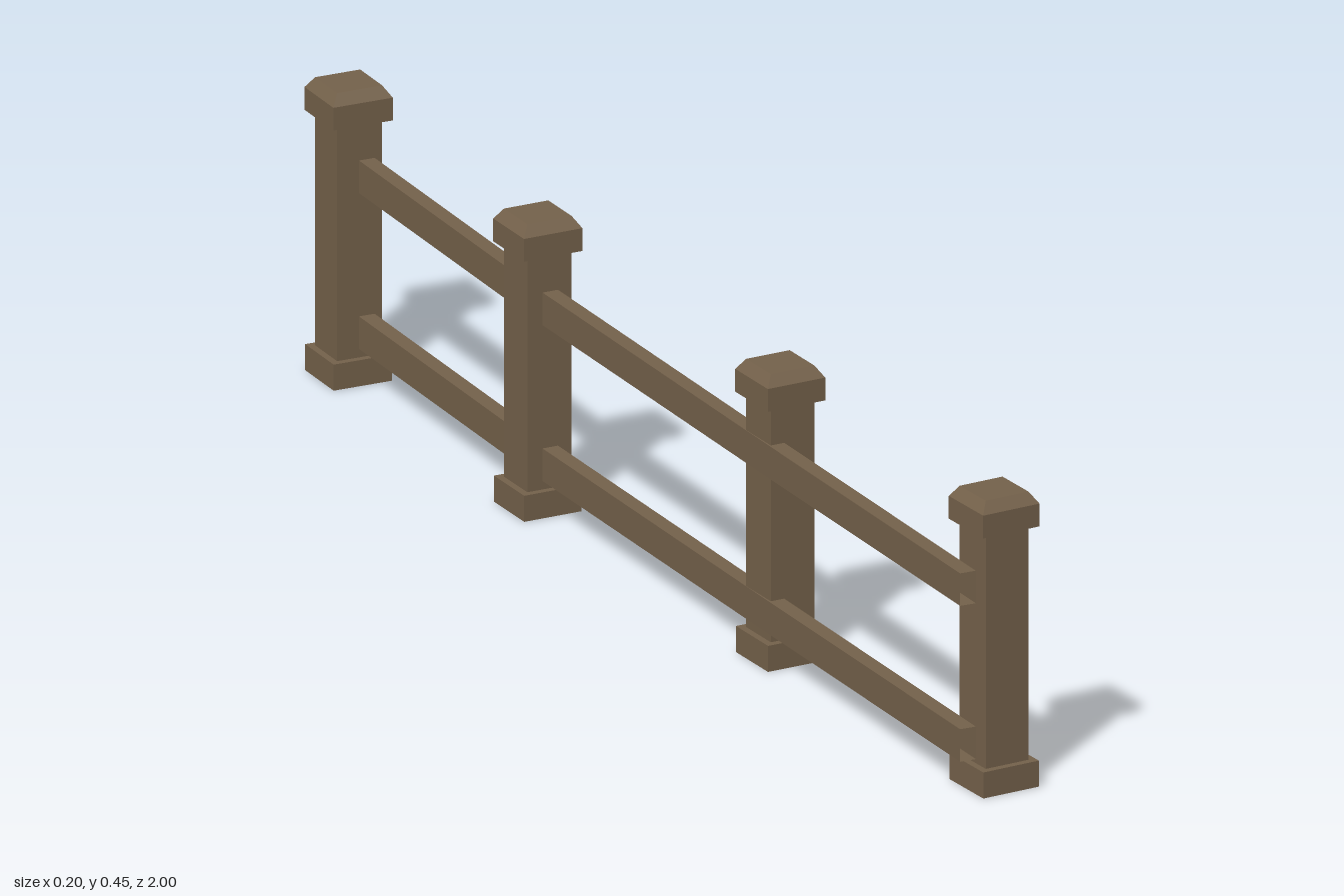
import * as THREE from 'three';

const wood = new THREE.MeshStandardMaterial({ color: 0x75624b, flatShading: true });
const railWood = new THREE.MeshStandardMaterial({ color: 0x75624b, flatShading: true, side: THREE.DoubleSide });

function block(name, width, y0, y1) {
  const mesh = new THREE.Mesh(new THREE.BoxGeometry(width, y1 - y0, width), wood);
  mesh.position.y = (y0 + y1) / 2;
  mesh.name = name;
  return mesh;
}

// Square cap with a bevelled top, turned as a four-sided lathe
function cap() {
  const profile = [[0, 0.4], [0.0475, 0.4], [0.0475, 0.435], [0.036, 0.452], [0, 0.452]]
    .map(([half, y]) => new THREE.Vector2(half * Math.SQRT2, y));
  const mesh = new THREE.Mesh(new THREE.LatheGeometry(profile, 4, Math.PI / 4), wood);
  mesh.name = 'postCap';
  return mesh;
}

function post(x, z, degrees) {
  const group = new THREE.Group();
  group.add(block('postBase', 0.0935, 0, 0.04), block('postShaft', 0.072, 0.04, 0.4), cap());
  group.position.set(x, 0, z);
  group.rotation.y = THREE.MathUtils.degToRad(degrees);
  group.name = 'post';
  return group;
}

// Open-ended rectangular rail swept through the path points [x, z]
function rail(name, path, y0, y1, width) {
  const rings = path.map(([x, z]) => {
    const l = x - width / 2, r = x + width / 2;
    return [[l, y0, z], [r, y0, z], [r, y1, z], [l, y1, z]];
  });
  const positions = [];
  for (let i = 0; i < rings.length - 1; i++) {
    for (let k = 0; k < 4; k++) {
      const n = (k + 1) % 4;
      const a = rings[i][k], b = rings[i][n], c = rings[i + 1][n], d = rings[i + 1][k];
      positions.push(...a, ...b, ...c, ...a, ...c, ...d);
    }
  }
  const geometry = new THREE.BufferGeometry();
  geometry.setAttribute('position', new THREE.Float32BufferAttribute(positions, 3));
  geometry.computeVertexNormals();
  const mesh = new THREE.Mesh(geometry, railWood);
  mesh.name = name;
  return mesh;
}

export function createModel() {
  const fence = new THREE.Group();
  fence.name = 'fence';

  // Four posts, each turned a little further along the bend
  const posts = [[-0.055, -0.953, 0], [-0.045, -0.353, 1.8], [0, 0.35, 3.6], [0.05, 0.949, 5.4]];
  for (const [x, z, turn] of posts) fence.add(post(x, z, turn));

  // Two rails following the posts
  const path = [[-0.0435, -0.97], [-0.0435, -0.35], [-0.0253, 0.35], [-0.0055, 0.977]];
  fence.add(rail('lowerRail', path, 0.053, 0.103, 0.025));
  fence.add(rail('upperRail', path, 0.2925, 0.3425, 0.025));
  return fence;
}
